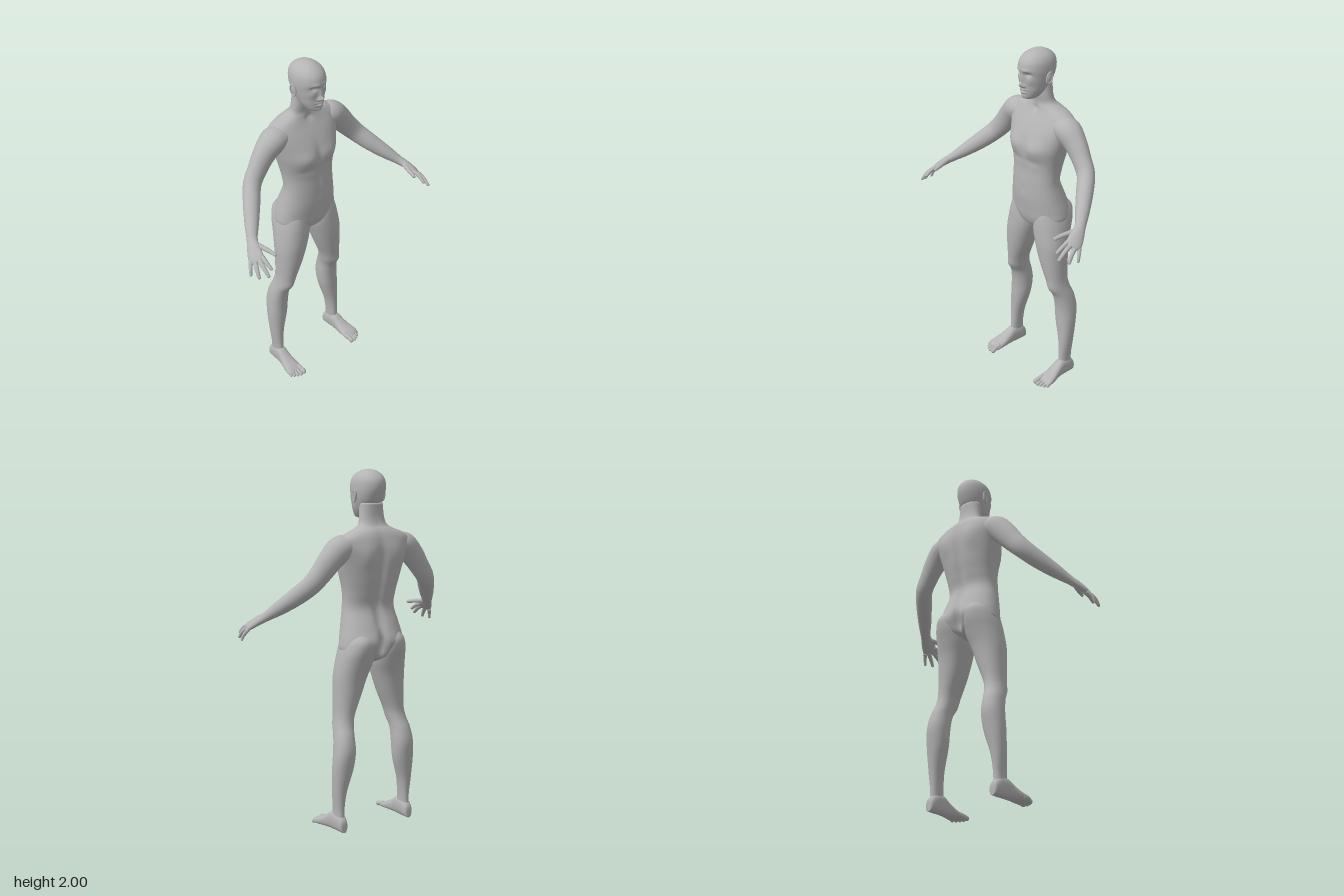
import * as THREE from 'three';

const V = (x, y, z) => new THREE.Vector3(x, y, z);
const skin = new THREE.MeshStandardMaterial({ color: 0xb4b4b4 });
skin.name = 'plainGrey';

// Smoothly resample a list of cross-section rows
function resample(rows, steps) {
  const out = [];
  const at = i => rows[Math.max(0, Math.min(rows.length - 1, i))];
  for (let i = 0; i < rows.length - 1; i++) {
    for (let k = 0; k < steps; k++) {
      const t = k / steps;
      out.push(rows[i].map((b, c) => {
        const a = at(i - 1)[c], d = at(i + 1)[c], e = at(i + 2)[c];
        return b + 0.5 * t * (d - a + t * (2 * a - 5 * b + 4 * d - e + t * (3 * (b - d) + e - a)));
      }));
    }
  }
  out.push(rows[rows.length - 1]);
  return out;
}

// Skin closed rings of points, closing both ends
function skinRings(rings) {
  const n = rings[0].length, pos = [], idx = [];
  rings.forEach(r => r.forEach(p => pos.push(p.x, p.y, p.z)));
  for (let i = 0; i < rings.length - 1; i++) {
    for (let j = 0; j < n; j++) {
      const a = i * n + j, b = i * n + (j + 1) % n;
      idx.push(a, b, a + n, b, b + n, a + n);
    }
  }
  [0, rings.length - 1].forEach((r, end) => {
    const c = rings[r].reduce((s, p) => s.add(p), V(0, 0, 0)).divideScalar(n);
    const ci = pos.length / 3;
    pos.push(c.x, c.y, c.z);
    for (let j = 0; j < n; j++) {
      const a = r * n + j, b = r * n + (j + 1) % n;
      if (end) idx.push(a, b, ci); else idx.push(b, a, ci);
    }
  });
  const g = new THREE.BufferGeometry();
  g.setAttribute('position', new THREE.Float32BufferAttribute(pos, 3));
  g.setIndex(idx);
  g.computeVertexNormals();
  return g;
}

const power = (c, n) => Math.sign(c) * Math.abs(c) ** (2 / n);

// Horizontal sections, rising: [y, centreX, halfWidth, zFront, zBack]
function column(rows, { segs = 48, steps = 5, n = 2.2, front = [], back = [] } = {}) {
  const relief = (list, x, y) => list.reduce((s, [bx, by, sx, sy, d]) =>
    s + d * Math.exp(-(((Math.abs(x) - bx) / sx) ** 2) - ((y - by) / sy) ** 2), 0);
  return skinRings(resample(rows, steps).map(([y, cx, w, zf, zb]) =>
    Array.from({ length: segs }, (_, j) => {
      const a = j / segs * Math.PI * 2, c = Math.cos(a);
      const x = cx + w * power(Math.sin(a), n);
      const z = (zf + zb) / 2 + (zf - zb) / 2 * power(c, n);
      const k = Math.min(1, Math.abs(c) * 2);
      return V(x, y, z + k * relief(c > 0 ? front : back, x, y));
    })));
}

// Round-ended limb along a path: [x, y, z, thickness, width]; "up" is the thickness direction
function limb(rows, up, segs = 32, steps = 6) {
  const pts = resample(rows, steps), rings = [];
  const ring = (p, t, rn, rw) => {
    const u = up.clone().addScaledVector(t, -up.dot(t)).normalize();
    const v = t.clone().cross(u);
    rings.push(Array.from({ length: segs }, (_, j) => {
      const a = j / segs * Math.PI * 2;
      return p.clone().addScaledVector(u, rn * Math.cos(a)).addScaledVector(v, rw * Math.sin(a));
    }));
  };
  pts.forEach((r, i) => {
    const a = pts[Math.max(0, i - 1)], b = pts[Math.min(pts.length - 1, i + 1)];
    const t = V(b[0] - a[0], b[1] - a[1], b[2] - a[2]).normalize(), p = V(r[0], r[1], r[2]);
    ring(p, t, r[3], r[4]);
    if (i === pts.length - 1) {
      for (const q of [0.5, 0.95, 1.3, 1.5]) {
        ring(p.clone().addScaledVector(t, r[3] * Math.sin(q)), t, r[3] * Math.cos(q), r[4] * Math.cos(q));
      }
    }
  });
  return skinRings(rings);
}

function mirrored(geo) {
  const g = geo.clone().scale(-1, 1, 1), ix = g.index.array;
  for (let i = 0; i < ix.length; i += 3) [ix[i], ix[i + 1]] = [ix[i + 1], ix[i]];
  return g;
}

export function createModel() {
  const model = new THREE.Group();
  model.name = 'standingFigure';
  const add = (name, geo) => {
    const m = new THREE.Mesh(geo, skin);
    m.name = name;
    model.add(m);
  };
  const addPair = (name, geo) => {
    add(name + 'Left', geo);
    add(name + 'Right', mirrored(geo));
  };

  // Torso and neck, with chest, navel, spine and seat relief
  add('torso', column([
    [0.945, 0, 0.04, -0.08, -0.17], [0.975, 0, 0.13, -0.045, -0.225], [1.02, 0, 0.192, -0.028, -0.25],
    [1.075, 0, 0.192, -0.02, -0.262], [1.155, 0, 0.175, -0.011, -0.242], [1.25, 0, 0.157, -0.011, -0.207],
    [1.33, 0, 0.16, -0.014, -0.222], [1.4, 0, 0.174, -0.007, -0.24], [1.46, 0, 0.19, -0.006, -0.25],
    [1.52, 0, 0.206, -0.022, -0.256], [1.58, 0, 0.226, -0.05, -0.256], [1.63, 0, 0.224, -0.078, -0.246],
    [1.66, 0, 0.18, -0.092, -0.235], [1.68, 0, 0.128, -0.098, -0.222], [1.705, 0, 0.086, -0.102, -0.2],
    [1.75, 0, 0.074, -0.095, -0.188], [1.82, 0, 0.068, -0.09, -0.186],
  ], {
    segs: 96, n: 2.25,
    front: [[0.085, 1.455, 0.06, 0.045, 0.012], [0, 1.47, 0.02, 0.07, -0.008], [0, 1.2, 0.012, 0.012, -0.008],
      [0.06, 1.38, 0.07, 0.018, -0.006], [0, 1.3, 0.014, 0.08, -0.005], [0, 1.665, 0.02, 0.02, -0.01]],
    back: [[0, 1.4, 0.028, 0.2, 0.02], [0, 1.04, 0.018, 0.065, 0.045], [0.1, 1.54, 0.05, 0.07, -0.012],
      [0, 1.17, 0.04, 0.05, 0.012], [0.09, 1.06, 0.05, 0.05, -0.01]],
  }));

  // Head with face relief: sockets, brow, nose, cheeks, lips, chin
  add('head', column([
    [1.735, 0, 0.022, -0.035, -0.085], [1.745, 0, 0.042, -0.014, -0.11], [1.78, 0, 0.064, -0.008, -0.15],
    [1.82, 0, 0.077, -0.006, -0.186], [1.86, 0, 0.085, -0.003, -0.207], [1.9, 0, 0.088, 0.004, -0.219],
    [1.94, 0, 0.083, -0.003, -0.217], [1.97, 0, 0.067, -0.026, -0.197], [1.99, 0, 0.041, -0.058, -0.165],
    [1.998, 0, 0.019, -0.085, -0.136], [2, 0, 0.003, -0.107, -0.113],
  ], {
    segs: 128, steps: 10, n: 2.1,
    front: [[0.036, 1.882, 0.018, 0.012, -0.014], [0.03, 1.903, 0.025, 0.01, 0.005],
      [0, 1.848, 0.011, 0.026, 0.012], [0, 1.82, 0.012, 0.013, 0.024], [0.015, 1.814, 0.007, 0.008, 0.009],
      [0.05, 1.845, 0.02, 0.02, 0.005], [0, 1.793, 0.022, 0.006, 0.01], [0, 1.777, 0.02, 0.006, 0.009],
      [0, 1.785, 0.024, 0.0035, -0.006], [0, 1.75, 0.02, 0.014, 0.006]],
  }));
  addPair('eye', new THREE.SphereGeometry(0.013, 20, 14).translate(0.036, 1.881, -0.033));
  addPair('ear', new THREE.SphereGeometry(1, 20, 14).scale(0.009, 0.031, 0.017)
    .rotateX(-0.2).rotateY(-0.25).translate(0.088, 1.856, -0.114));
  addPair('earRim', new THREE.TorusGeometry(0.022, 0.0045, 10, 28).scale(0.75, 1.4, 1)
    .rotateY(Math.PI / 2).rotateX(-0.2).rotateY(-0.25).translate(0.093, 1.857, -0.115));

  // Arm running into the palm
  const up = V(0.63, 0.77, 0.11);
  addPair('arm', limb([
    [0.13, 1.59, -0.155, 0.05, 0.065], [0.205, 1.583, -0.15, 0.072, 0.074], [0.272, 1.525, -0.15, 0.068, 0.06],
    [0.33, 1.455, -0.143, 0.06, 0.05], [0.384, 1.393, -0.125, 0.054, 0.048], [0.44, 1.33, -0.067, 0.049, 0.046],
    [0.5, 1.268, 0.002, 0.039, 0.039], [0.55, 1.218, 0.062, 0.026, 0.03], [0.576, 1.192, 0.105, 0.022, 0.038],
    [0.595, 1.168, 0.142, 0.018, 0.043], [0.603, 1.158, 0.16, 0.013, 0.036],
  ], up));

  // Fingers and thumb: base, middle joint, tip, radius
  const fingers = {
    indexFinger: [[0.573, 1.179, 0.155], [0.578, 1.162, 0.205], [0.576, 1.138, 0.243], 0.0105],
    middleFinger: [[0.592, 1.167, 0.157], [0.602, 1.143, 0.215], [0.605, 1.112, 0.255], 0.011],
    ringFinger: [[0.608, 1.154, 0.148], [0.626, 1.126, 0.188], [0.634, 1.093, 0.212], 0.0105],
    littleFinger: [[0.62, 1.145, 0.13], [0.639, 1.115, 0.15], [0.647, 1.087, 0.16], 0.009],
    thumb: [[0.558, 1.207, 0.092], [0.536, 1.198, 0.162], [0.524, 1.188, 0.214], 0.0115],
  };
  for (const [name, [a, b, c, r]] of Object.entries(fingers)) {
    addPair(name, limb([[...a, r * 1.2, r * 1.35], [...b, r * 1.05, r * 1.1], [...c, r * 0.75, r * 0.85]], up, 14, 5));
  }

  // Leg from ankle to hip: [y, inner, outer, zFront, zBack]
  addPair('leg', column([
    [0.04, 0.199, 0.254, -0.1, -0.195], [0.12, 0.198, 0.251, -0.106, -0.19], [0.23, 0.184, 0.261, -0.11, -0.2],
    [0.36, 0.147, 0.266, -0.11, -0.221], [0.46, 0.137, 0.259, -0.107, -0.233], [0.54, 0.137, 0.247, -0.092, -0.219],
    [0.6, 0.127, 0.234, -0.064, -0.196], [0.66, 0.112, 0.225, -0.051, -0.187], [0.76, 0.071, 0.223, -0.036, -0.196],
    [0.865, 0.034, 0.221, -0.027, -0.212], [0.95, 0.008, 0.211, -0.028, -0.238], [1.02, 0.008, 0.198, -0.033, -0.262],
    [1.08, 0.02, 0.178, -0.045, -0.264], [1.13, 0.05, 0.14, -0.08, -0.22],
  ].map(([y, i, o, f, b]) => [y, (i + o) / 2, (o - i) / 2, f, b]), {
    front: [[0.185, 0.6, 0.03, 0.035, 0.008]],
  }));

  // Foot, lofted heel to ball: [z, centreX, halfWidth, top]
  const footRows = [[-0.208, 0.225, 0.014, 0.05], [-0.2, 0.225, 0.025, 0.075], [-0.165, 0.225, 0.032, 0.105],
    [-0.11, 0.227, 0.034, 0.108], [-0.07, 0.23, 0.038, 0.082], [-0.03, 0.234, 0.045, 0.058],
    [0.005, 0.237, 0.05, 0.043], [0.025, 0.237, 0.049, 0.033], [0.038, 0.235, 0.042, 0.024]];
  addPair('foot', skinRings(resample(footRows, 5).map(([z, cx, w, top]) =>
    Array.from({ length: 40 }, (_, j) => {
      const a = j / 40 * Math.PI * 2;
      return V(cx + w * power(Math.cos(a), 2.4), top / 2 * (1 + power(Math.sin(a), 2.4)), z);
    }))));

  // Toes: x at base, x at tip, tip z, radius
  [[0.205, 0.201, 0.063, 0.0145], [0.227, 0.225, 0.066, 0.0105], [0.244, 0.245, 0.058, 0.01],
    [0.26, 0.263, 0.047, 0.0095], [0.274, 0.278, 0.033, 0.009]].forEach(([x0, x1, z, r], i) => {
    addPair('toe' + (i + 1), limb([[x0, r + 0.012, z - 0.055, r, r], [(x0 + x1) / 2, r + 0.008, z - 0.025, r * 0.9, r * 0.9],
      [x1, r, z, r, r]], V(0, 1, 0), 14, 4));
  });

  return model;
}
